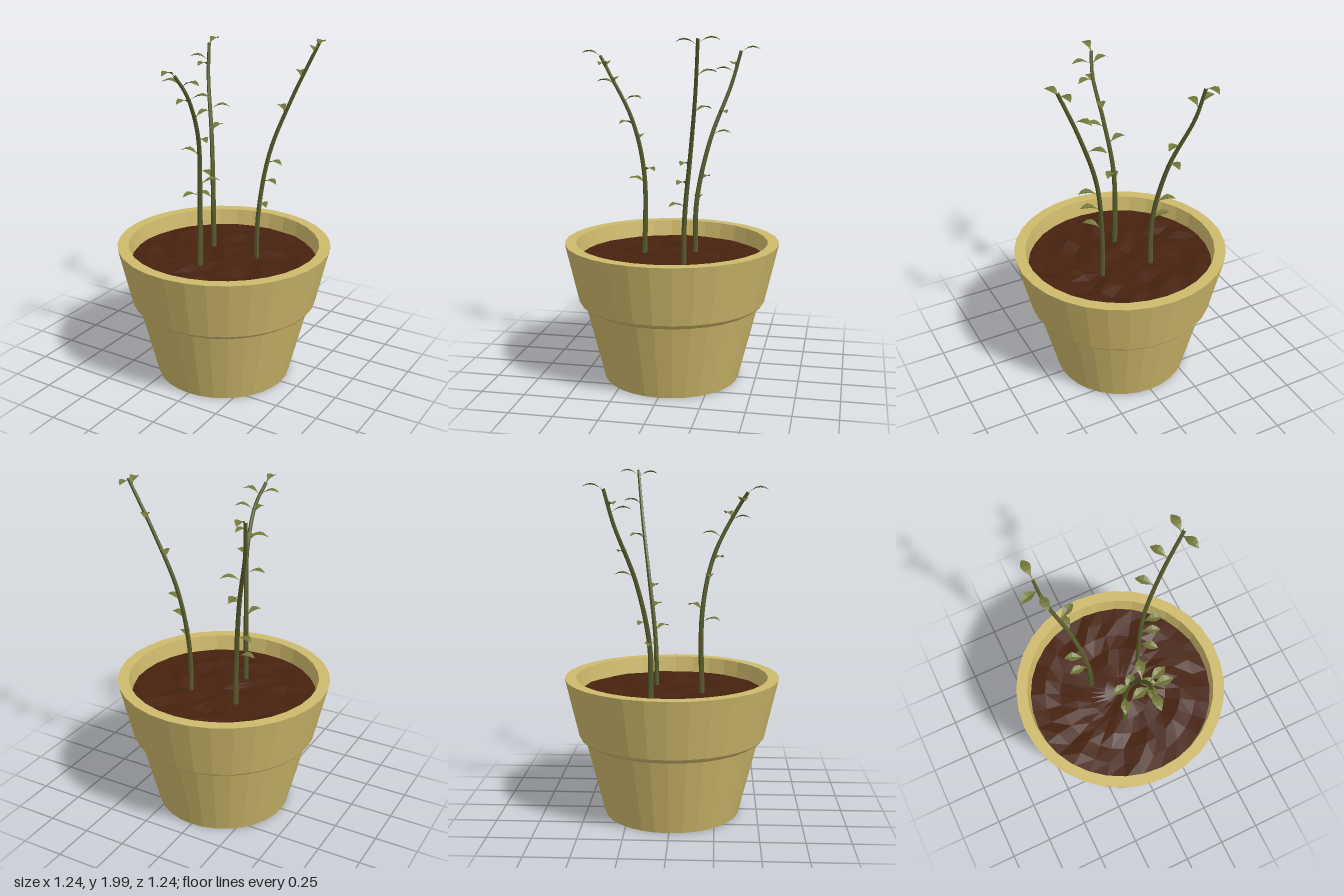
import * as THREE from 'three';

const mat = (name, color, side = THREE.FrontSide) => {
  const m = new THREE.MeshStandardMaterial({ color, flatShading: true, side });
  m.name = name;
  return m;
};

const clay = mat('ochre clay', 0xcfba6c);
const earth = mat('brown soil', 0x47220f);
const stemGreen = mat('dark olive stem', 0x585c2c);
const leafGreen = mat('olive leaf', 0x737838, THREE.DoubleSide);

const add = (parent, name, geometry, material) => {
  const mesh = new THREE.Mesh(geometry, material);
  mesh.name = name;
  parent.add(mesh);
  return mesh;
};

// Each plant: stem points from soil to tip, then leaves as [attach height, compass angle from +x towards +z]
const plants = [
  {
    name: 'leftPlant',
    path: [[-0.14, 0.66, -0.115], [-0.147, 1.02, -0.12], [-0.2, 1.38, -0.19], [-0.29, 1.7, -0.3], [-0.315, 1.89, -0.35]],
    leaves: [[1.01, 180], [1.13, 200], [1.4, 272], [1.52, 330], [1.79, 160], [1.76, 90], [1.88, 265]],
  },
  {
    name: 'middlePlant',
    path: [[-0.055, 0.66, 0.175], [-0.05, 1.2, 0.175], [-0.02, 1.51, 0.238], [-0.01, 1.75, 0.355], [-0.04, 1.865, 0.425]],
    leaves: [[1.2, 315], [1.13, 113], [1.38, 172], [1.47, 35], [1.61, 288], [1.72, 342], [1.7, 95], [1.8, 7], [1.8, 168], [1.86, 92]],
  },
  {
    name: 'rightPlant',
    path: [[0.165, 0.66, -0.1], [0.168, 0.98, -0.105], [0.215, 1.35, -0.145], [0.33, 1.68, -0.19], [0.462, 1.98, -0.225]],
    leaves: [[1.04, 42], [1.17, 20], [1.28, 15], [1.58, 225], [1.78, 239], [1.95, 266], [1.94, 70]],
  },
];

// Tapered tube along the stem curve
function stemGeometry(curve) {
  const rings = 28, sides = 6;
  const geo = new THREE.TubeGeometry(curve, rings, 0.016, sides);
  const p = geo.attributes.position, v = new THREE.Vector3();
  for (let i = 0; i < p.count; i++) {
    const t = Math.floor(i / (sides + 1)) / rings;
    const c = curve.getPointAt(t);
    v.fromBufferAttribute(p, i).sub(c).multiplyScalar(1 - 0.4 * t).add(c);
    p.setXYZ(i, v.x, v.y, v.z);
  }
  return geo;
}

// Point on the stem at a given height
function pointAtHeight(curve, y) {
  let a = 0, b = 1;
  for (let i = 0; i < 20; i++) {
    const m = (a + b) / 2;
    if (curve.getPoint(m).y < y) a = m; else b = m;
  }
  return curve.getPoint(a);
}

// Folded, drooping leaf: three points across at each station
function leafGeometry(from, degrees) {
  const angle = THREE.MathUtils.degToRad(degrees);
  const out = new THREE.Vector3(Math.cos(angle), 0, Math.sin(angle));
  const tip = from.clone().addScaledVector(out, 0.115);
  tip.y += 0.02;
  const mid = from.clone().lerp(tip, 0.5);
  mid.y += 0.04;
  const spine = new THREE.QuadraticBezierCurve3(from, mid, tip);
  const widths = [0.004, 0.005, 0.02, 0.027, 0.018, 0.001];
  const pos = [], index = [];
  widths.forEach((w, i) => {
    const c = spine.getPoint(i / (widths.length - 1));
    for (const s of [-1, 0, 1]) pos.push(c.x + out.z * w * s, c.y + Math.abs(s) * w * 0.3, c.z - out.x * w * s);
    if (i === 0) return;
    for (const k of [0, 1]) {
      const a = (i - 1) * 3 + k, b = a + 3;
      index.push(a, a + 1, b, a + 1, b + 1, b);
    }
  });
  const geo = new THREE.BufferGeometry();
  geo.setAttribute('position', new THREE.Float32BufferAttribute(pos, 3));
  geo.setIndex(index);
  geo.computeVertexNormals();
  return geo;
}

// Lumpy soil disc
function soilGeometry() {
  const geo = new THREE.RingGeometry(0.001, 0.546, 32, 6);
  geo.rotateX(-Math.PI / 2);
  const p = geo.attributes.position;
  for (let i = 0; i < p.count; i++) {
    const x = p.getX(i), z = p.getZ(i), r = Math.hypot(x, z);
    const lump = Math.sin(x * 17 + z * 5) * Math.sin(z * 19 - x * 7) + 0.5 * Math.sin(x * 31 + z * 23);
    const fade = r > 0.53 ? 0.2 : r < 0.01 ? 0 : 1;
    p.setY(i, 0.715 + 0.013 * lump * fade);
  }
  geo.computeVertexNormals();
  return geo;
}

export function createModel() {
  const model = new THREE.Group();
  model.name = 'pottedPlant';

  // Pot: tapered body, overhanging collar and inner wall
  const profile = [[0, 0], [0.395, 0], [0.505, 0.44], [0.535, 0.46], [0.542, 0.47], [0.62, 0.81], [0.555, 0.81], [0.535, 0.67]];
  add(model, 'pot', new THREE.LatheGeometry(profile.map(([x, y]) => new THREE.Vector2(x, y)), 32), clay);
  add(model, 'soil', soilGeometry(), earth);

  // Stems with their leaves
  for (const { name, path, leaves } of plants) {
    const plant = new THREE.Group();
    plant.name = name;
    const curve = new THREE.CatmullRomCurve3(path.map((q) => new THREE.Vector3(...q)));
    add(plant, 'stem', stemGeometry(curve), stemGreen);
    for (const [height, degrees] of leaves) {
      add(plant, 'leaf', leafGeometry(pointAtHeight(curve, height), degrees), leafGreen);
    }
    model.add(plant);
  }
  return model;
}
